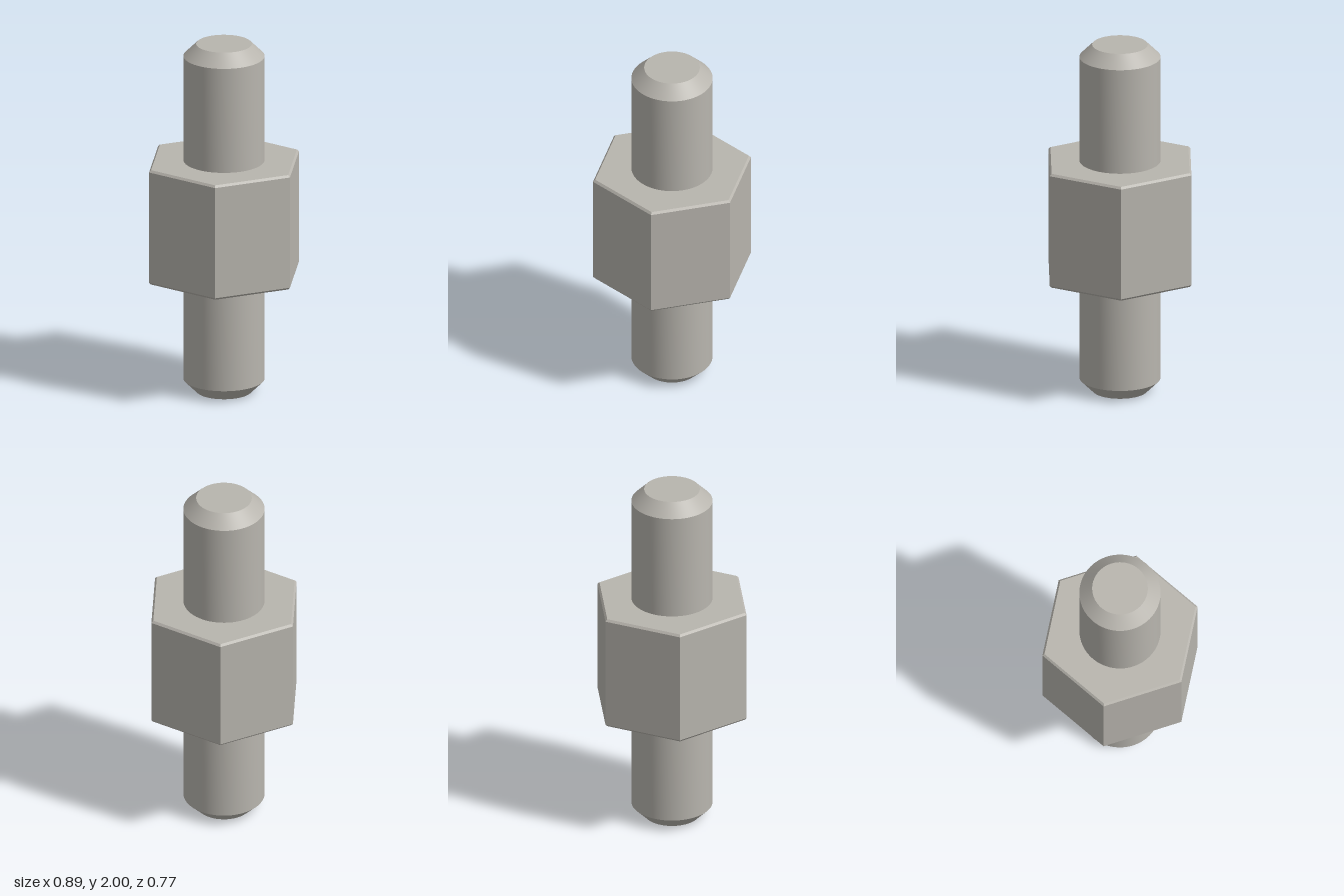
import * as THREE from 'three';
import { toCreasedNormals } from 'three/addons/utils/BufferGeometryUtils.js';

const ROD = 0.222, TIP = 0.152, TIP_H = 0.07;         // stud radii and tip chamfer
const HEX = 0.447, BEVEL = 0.012;                     // collar corner radius and edge bevel
const LOW = 0.67, HIGH = 1.33;                        // collar bottom and top

// Turn a [radius, height] profile, keeping chamfer edges sharp
function turned(profile, sides, start = 0) {
  const points = profile.map(([r, y]) => new THREE.Vector2(r, y));
  return toCreasedNormals(new THREE.LatheGeometry(points, sides, start), 0.5);
}

export function createModel() {
  const model = new THREE.Group();
  const steel = new THREE.MeshStandardMaterial({ color: 0xb8b5ae });
  steel.name = 'steel';

  const add = (name, geometry, parent = model) => {
    const mesh = new THREE.Mesh(geometry, steel);
    mesh.name = name;
    parent.add(mesh);
    return mesh;
  };

  // Round studs with chamfered ends, above and below the collar
  add('upperStud', turned([[ROD, HIGH], [ROD, 2 - TIP_H], [TIP, 2], [0, 2]], 64));
  add('lowerStud', turned([[0, 0], [TIP, 0], [ROD, TIP_H], [ROD, LOW]], 64));

  // Hexagonal collar: bevelled walls with corners on the x axis
  const collar = new THREE.Group();
  collar.name = 'hexCollar';
  model.add(collar);
  const inner = HEX - BEVEL;
  add('collarWalls', turned(
    [[inner, LOW], [HEX, LOW + BEVEL], [HEX, HIGH - BEVEL], [inner, HIGH]], 6, Math.PI / 6), collar);

  // Collar end faces, open where the studs join
  const face = new THREE.Shape();
  for (let i = 0; i < 6; i++) {
    const a = i * Math.PI / 3;
    face[i ? 'lineTo' : 'moveTo'](inner * Math.cos(a), inner * Math.sin(a));
  }
  face.closePath();
  face.holes.push(new THREE.Path().absarc(0, 0, ROD, 0, Math.PI * 2, true));
  const faceGeometry = new THREE.ShapeGeometry(face, 32);
  for (const [name, y, tilt] of [['collarTop', HIGH, -1], ['collarBottom', LOW, 1]]) {
    const mesh = add(name, faceGeometry, collar);
    mesh.rotation.x = tilt * Math.PI / 2;
    mesh.position.y = y;
  }
  return model;
}
